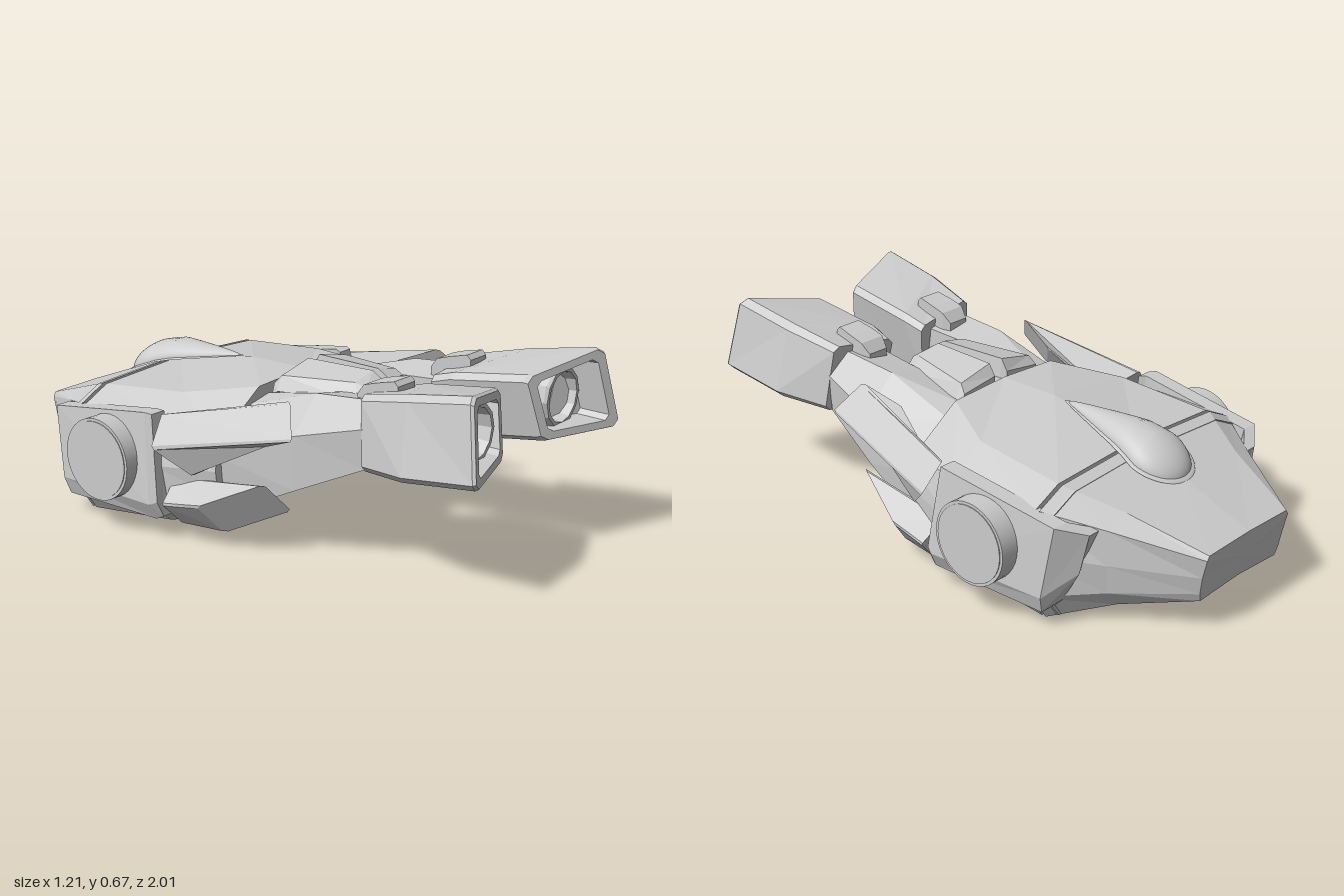
import * as THREE from 'three';

const plating = new THREE.MeshStandardMaterial({ color: 0xcccccc });
plating.name = 'grey plating';

// Closed loft through rings of [x, y, z] points, flat shaded, always facing outward.
function loft(rings) {
  const n = rings[0].length, tris = [];
  const V = p => new THREE.Vector3(...p);
  for (let i = 0; i < rings.length - 1; i++) {
    for (let j = 0; j < n; j++) {
      const k = (j + 1) % n, a = rings[i][j], b = rings[i][k], c = rings[i + 1][k], d = rings[i + 1][j];
      tris.push([a, b, c], [a, c, d]);
    }
  }
  const cap = (r, flip) => {
    const m = [0, 1, 2].map(q => r.reduce((s, p) => s + p[q], 0) / n);
    r.forEach((p, j) => tris.push(flip ? [m, r[(j + 1) % n], p] : [m, p, r[(j + 1) % n]]));
  };
  cap(rings[0], true);
  cap(rings[rings.length - 1], false);
  const volume = tris.reduce((s, [a, b, c]) => s + V(a).dot(V(b).cross(V(c))), 0);
  if (volume < 0) tris.forEach(t => t.reverse());
  const g = new THREE.BufferGeometry();
  g.setAttribute('position', new THREE.Float32BufferAttribute(tris.flat(2), 3));
  g.computeVertexNormals();
  return g;
}

// Ring mirrored about x = 0 from a half profile running bottom centre to top centre.
const symmetric = (z, half) => [
  ...half.map(([x, y, dz = 0]) => [x, y, z + dz]),
  ...half.slice(1, -1).reverse().map(([x, y, dz = 0]) => [-x, y, z + dz]),
];
const ringAt = (z, pts) => pts.map(([x, y]) => [x, y, z]);
const lerp = (a, b, t) => a.map((v, i) => v + (b[i] - v) * t);
const chamfer = (r, t = 0.08) => r.flatMap((p, i) => [
  lerp(p, r[(i + r.length - 1) % r.length], t), lerp(p, r[(i + 1) % r.length], t)]);
const shrink = (r, t, dz = 0) => {
  const m = [0, 1, 2].map(q => r.reduce((s, p) => s + p[q], 0) / r.length);
  return r.map(p => { const o = lerp(p, m, t); o[2] += dz; return o; });
};

export function createModel() {
  const model = new THREE.Group();
  model.name = 'armouredVehicle';
  const add = (name, geometry, parent = model) => {
    const mesh = new THREE.Mesh(geometry, plating);
    mesh.name = name;
    parent.add(mesh);
    return mesh;
  };

  // Main hull: rear shell, front shell and the core seen in the seam
  const seam = [[0, 0.02], [0.45, 0], [0.52, 0.1], [0.525, 0.25], [0.485, 0.385], [0.38, 0.435], [0, 0.455]];
  add('rearShell', loft([
    symmetric(-1, [[0, 0.12, 0.03], [0.2, 0.11, 0.03], [0.21, 0.14, 0.025], [0.215, 0.2, 0.015],
      [0.215, 0.265], [0.205, 0.28], [0, 0.285]]),
    symmetric(-0.74, [[0, 0.08], [0.32, 0.06], [0.37, 0.12], [0.38, 0.22], [0.37, 0.335], [0.29, 0.37], [0, 0.385]]),
    symmetric(-0.56, seam),
  ]));
  add('hullCore', loft([-0.6, -0.5].map(z => symmetric(z, seam.map(([x, y]) => [x * 0.96, 0.22 + (y - 0.22) * 0.94])))));
  add('frontShell', loft([
    symmetric(-0.545, seam),
    symmetric(-0.2, [[0, 0.05], [0.43, 0.03], [0.52, 0.1], [0.525, 0.25], [0.49, 0.39], [0.36, 0.465], [0, 0.51]]),
    symmetric(0.03, [[0, 0.1], [0.41, 0.097], [0.45, 0.17], [0.46, 0.26], [0.45, 0.36], [0.24, 0.5], [0, 0.512]]),
  ]));
  add('chest', loft([
    symmetric(0, [[0, 0.085], [0.41, 0.082], [0.43, 0.28], [0.28, 0.44], [0, 0.49]]),
    symmetric(0.29, [[0, 0.25], [0.36, 0.24], [0.37, 0.33], [0.25, 0.48], [0, 0.5]]),
    symmetric(0.355, [[0, 0.31], [0.11, 0.305], [0.11, 0.34], [0.07, 0.52], [0, 0.52]]),
  ]));

  // Teardrop dome with a thin rim, following the slope of the roof
  const roof = z => (z < -0.55 ? 0.458 + (z + 0.55) * 0.39 : 0.458 + (z + 0.55) * 0.16);
  const teardrop = (radius, height, tip) => {
    const g = new THREE.SphereGeometry(1, 40, 12, 0, Math.PI * 2, 0, Math.PI / 2);
    const p = g.attributes.position;
    for (let i = 0; i < p.count; i++) {
      const [x, y, z] = [p.getX(i), p.getY(i), p.getZ(i)];
      const taper = z > 0 ? 1 - 0.72 * z : 1;
      const wz = -0.63 + z * (z > 0 ? tip : radius);
      p.setXYZ(i, x * radius * taper, roof(wz) + y * height * (z > 0 ? 1 - 0.6 * z : 1), wz);
    }
    g.computeVertexNormals();
    return g;
  };
  add('teardropRim', teardrop(0.126, 0.015, 0.385));
  add('teardropDome', teardrop(0.114, 0.075, 0.37));

  for (const side of [1, -1]) {
    const half = new THREE.Group();
    half.name = side > 0 ? 'leftSide' : 'rightSide';
    model.add(half);
    const part = (name, rings) =>
      add(name, loft(rings.map(r => r.map(([x, y, z]) => [x * side, y, z]))), half);

    // Arm from the hull to the pod
    part('arm', [
      ringAt(0, [[0.18, 0.46], [0.28, 0.44], [0.44, 0.31], [0.42, 0.09], [0.18, 0.09]]),
      ringAt(0.3, [[0.14, 0.51], [0.27, 0.535], [0.39, 0.42], [0.385, 0.235], [0.14, 0.24]]),
      ringAt(0.54, [[0.125, 0.53], [0.27, 0.555], [0.345, 0.48], [0.335, 0.345], [0.12, 0.335]]),
    ]);

    // Pod with a recessed opening at the front
    const back = chamfer([[0.07, 0.55, 0.5], [0.33, 0.585, 0.52], [0.36, 0.345, 0.55], [0.1, 0.335, 0.53]]);
    const mid = chamfer([[0.058, 0.575, 0.58], [0.365, 0.63, 0.72], [0.422, 0.365, 0.74], [0.1, 0.355, 0.6]]);
    const front = chamfer([[0.068, 0.612, 0.86], [0.378, 0.672, 0.965], [0.425, 0.398, 1.015], [0.108, 0.398, 0.905]]);
    part('pod', [back, mid, shrink(front, 0, -0.012), shrink(front, 0.04),
      shrink(front, 0.24), shrink(front, 0.28, -0.1)]);
    const lens = add('podLensRing', new THREE.LatheGeometry(
      [[0.085, -0.06], [0.105, -0.06], [0.105, 0.02], [0.098, 0.03], [0.085, 0.03], [0.078, -0.02], [0, -0.02]]
        .map(([x, y]) => new THREE.Vector2(x, y)), 12).toNonIndexed(), half);
    lens.geometry.computeVertexNormals();
    lens.rotation.set(Math.PI / 2, 0, 0);
    lens.position.set(0.25 * side, 0.515, 0.865);

    // Clip bridging the arm and the pod
    const clip = (z, lo, hi, w) => [[0.2 - w, lo, z], [0.2 - w, hi, z], [0.2 + w, hi, z], [0.2 + w, lo, z]];
    part('podClip', [clip(0.44, 0.5, 0.555, 0.04), clip(0.47, 0.5, 0.59, 0.05),
      clip(0.52, 0.5, 0.605, 0.05), clip(0.585, 0.52, 0.62, 0.045), clip(0.6, 0.52, 0.605, 0.045)]);

    // Twin plates in the middle of the chest
    part('chestPlate', [
      ringAt(0.045, [[0.03, 0.47], [0.03, 0.52], [0.18, 0.5], [0.195, 0.45]]),
      ringAt(0.07, [[0.02, 0.48], [0.03, 0.56], [0.17, 0.53], [0.195, 0.48]]),
      ringAt(0.33, [[0.01, 0.5], [0.015, 0.56], [0.11, 0.54], [0.15, 0.49]]),
      ringAt(0.37, [[0.01, 0.49], [0.015, 0.535], [0.1, 0.525], [0.14, 0.48]]),
    ]);

    // Upper and lower slanted guards on the flank, with obliquely cut ends
    const guard = (name, ...ends) => part(name, ends.map(([a, b, c]) =>
      chamfer([a, b, c, a.map((v, i) => v + c[i] - b[i])], 0.06)));
    guard('upperGuard',
      [[0.5, 0.435, -0.165], [0.578, 0.335, -0.145], [0.5, 0.24, -0.03]],
      [[0.405, 0.54, 0.3], [0.482, 0.44, 0.37], [0.44, 0.38, 0.22]]);
    guard('lowerGuard',
      [[0.47, 0.21, -0.14], [0.56, 0.14, -0.12], [0.48, 0.055, -0.1]],
      [[0.465, 0.265, 0.24], [0.545, 0.16, 0.02], [0.455, 0.055, 0.06]]);

    // Side plate bent around the hull, carrying the round hub
    const slice = (bottom, middle, top) => [
      [bottom[0] - 0.06, ...bottom.slice(1)], bottom, middle, top, [top[0] - 0.06, ...top.slice(1)]];
    part('sidePlate', [
      slice([0.53, 0.085, -0.14], [0.555, 0.14, -0.145], [0.53, 0.43, -0.185]),
      slice([0.54, 0.075, -0.165], [0.568, 0.13, -0.17], [0.54, 0.435, -0.21]),
      slice([0.515, 0.06, -0.6], [0.535, 0.12, -0.61], [0.52, 0.37, -0.65]),
      slice([0.45, 0.09, -0.63], [0.445, 0.2, -0.69], [0.43, 0.335, -0.715]),
    ]);
    const hub = add('hub', new THREE.CylinderGeometry(0.142, 0.142, 0.12, 40), half);
    hub.rotation.z = Math.PI / 2;
    hub.position.set(0.543 * side, 0.253, -0.375);
    const face = add('hubFace', new THREE.CylinderGeometry(0.132, 0.132, 0.008, 40), half);
    face.rotation.z = Math.PI / 2;
    face.position.set(0.602 * side, 0.253, -0.375);
  }
  return model;
}
